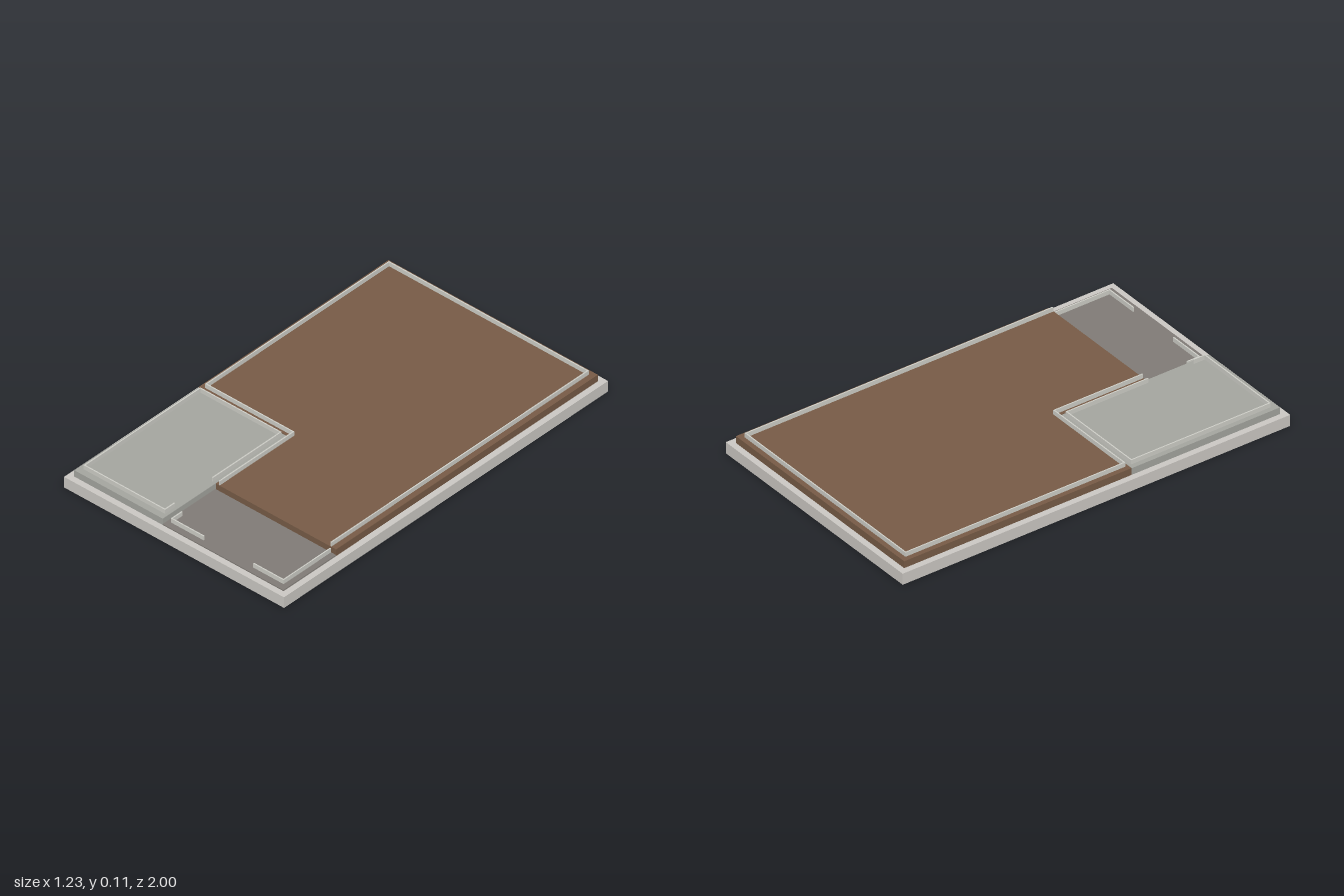
import * as THREE from 'three';

const mat = (name, color) => Object.assign(new THREE.MeshStandardMaterial({ color }), { name });

export function createModel() {
  const group = new THREE.Group();
  const concrete = mat('concrete', 0xcbc8c3);
  const wood = mat('brown floor', 0x775b46);
  const tile = mat('grey floor', 0xa4a59f);
  const stone = mat('dark paving', 0x807b76);
  const plaster = mat('wall plaster', 0xcecec7);

  // Box given by its lower and upper limits
  function block(name, material, x0, x1, y0, y1, z0, z1) {
    const mesh = new THREE.Mesh(new THREE.BoxGeometry(x1 - x0, y1 - y0, z1 - z0), material);
    mesh.position.set((x0 + x1) / 2, (y0 + y1) / 2, (z0 + z1) / 2);
    mesh.name = name;
    group.add(mesh);
  }

  // Low thin walls along a plan path of [x, z] points
  const t = 0.003;
  function walls(name, y, path) {
    for (let i = 1; i < path.length; i++) {
      const [ax, az] = path[i - 1], [bx, bz] = path[i];
      block(name, plaster, Math.min(ax, bx) - t, Math.max(ax, bx) + t, y, y + 0.021,
        Math.min(az, bz) - t, Math.max(az, bz) + t);
    }
  }

  block('baseSlab', concrete, -0.615, 0.615, 0, 0.055, -1, 1);

  // L-shaped main floor; shape y is -z
  const plan = [[-0.585, -0.97], [0.585, -0.97], [0.585, 0.645], [-0.088, 0.645], [-0.088, 0.203], [-0.585, 0.203]];
  const shape = new THREE.Shape(plan.map(([x, z]) => new THREE.Vector2(x, -z)));
  const floor = new THREE.Mesh(
    new THREE.ExtrudeGeometry(shape, { depth: 0.034, bevelEnabled: false }), wood);
  floor.rotation.x = -Math.PI / 2;
  floor.position.y = 0.055;
  floor.name = 'mainFloor';
  group.add(floor);

  // Side room and sunken porch
  block('sideRoomFloor', tile, -0.585, -0.09, 0.055, 0.088, 0.205, 0.97);
  block('porchFloor', stone, -0.09, 0.585, 0.055, 0.06, 0.645, 0.97);

  // Main room is open towards the porch
  walls('mainRoomWall', 0.089, [[-0.07, 0.64], [-0.07, 0.186], [-0.558, 0.186],
    [-0.558, -0.943], [0.554, -0.943], [0.554, 0.64]]);

  // Side room has a doorway to the porch
  walls('sideRoomWall', 0.088, [[-0.108, 0.64], [-0.108, 0.222], [-0.558, 0.222],
    [-0.558, 0.936], [-0.108, 0.936], [-0.108, 0.88]]);

  // Porch walls leave an entrance at the front
  walls('porchWall', 0.06, [[-0.07, 0.875], [-0.07, 0.936], [0.108, 0.936]]);
  walls('porchWall', 0.06, [[0.39, 0.936], [0.554, 0.936], [0.554, 0.648]]);

  return group;
}
